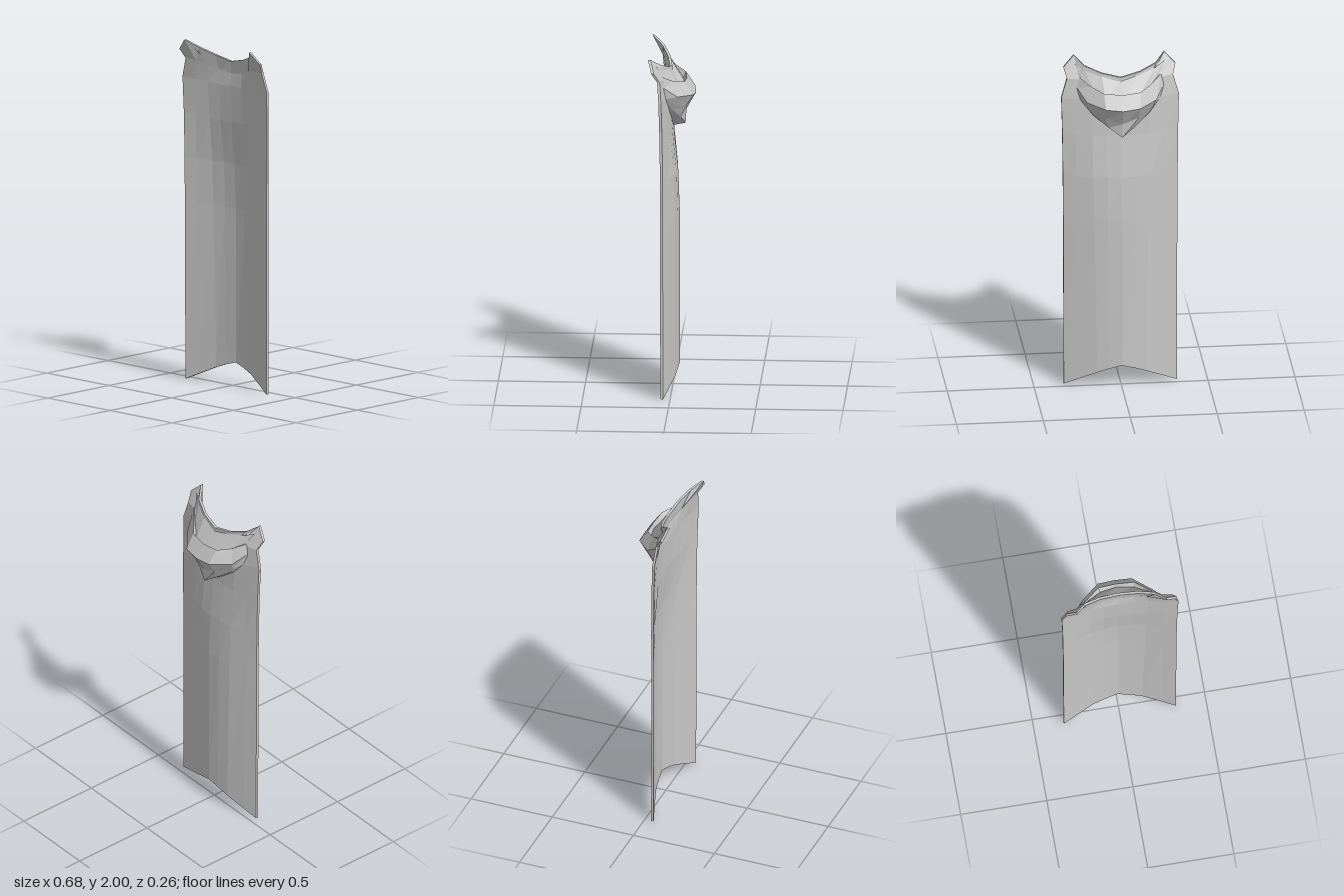
import * as THREE from 'three';

// Full row, left to right, from the half on the +x side (first point on the centre line)
const mirrorRow = half => [
  ...half.slice(1).reverse().map(([x, y, z]) => [-x, y, z]),
  ...half,
];

// Faceted skin over rows of points; rows run upward as seen from the outside
function skin(rows) {
  const pos = [];
  for (let r = 0; r < rows.length - 1; r++) {
    for (let i = 0; i < rows[r].length - 1; i++) {
      const a = rows[r][i], b = rows[r][i + 1];
      const c = rows[r + 1][i + 1], d = rows[r + 1][i];
      pos.push(...a, ...b, ...c, ...a, ...c, ...d);
    }
  }
  const g = new THREE.BufferGeometry();
  g.setAttribute('position', new THREE.Float32BufferAttribute(pos, 3));
  g.computeVertexNormals();
  return g;
}

export function createModel() {
  const group = new THREE.Group();
  const cloth = new THREE.MeshStandardMaterial({ color: 0xc8c8c8, side: THREE.DoubleSide });
  cloth.name = 'grey cloth';
  const add = (name, geometry, parent) => {
    const mesh = new THREE.Mesh(geometry, cloth);
    mesh.name = name;
    parent.add(mesh);
  };

  // Cape: front surface from the pointed hem to the flared collar
  const front = [
    [[0, 0.13, -0.025], [0.07, 0.11, -0.016], [0.14, 0.085, -0.005], [0.25, 0.035, 0.03], [0.325, 0, 0.055]],
    [[0, 1.03, -0.025], [0.08, 1.03, -0.018], [0.155, 1.03, -0.003], [0.255, 1.03, 0.03], [0.328, 1.03, 0.057]],
    [[0, 1.29, -0.015], [0.08, 1.29, -0.01], [0.16, 1.29, 0.002], [0.257, 1.29, 0.033], [0.33, 1.3, 0.057]],
    [[0, 1.54, 0.012], [0.085, 1.54, 0.014], [0.165, 1.54, 0.022], [0.258, 1.55, 0.04], [0.333, 1.56, 0.06]],
    [[0, 1.75, 0.02], [0.09, 1.75, 0.022], [0.17, 1.755, 0.03], [0.26, 1.76, 0.05], [0.338, 1.765, 0.066]],
    [[0, 1.825, 0.012], [0.09, 1.835, 0.018], [0.155, 1.85, 0.035], [0.235, 1.875, 0.062], [0.305, 1.88, 0.075]],
    [[0, 1.895, 0.018], [0.11, 1.92, 0.034], [0.205, 1.955, 0.07], [0.26, 2, 0.13], [0.322, 1.935, 0.108]],
  ].map(mirrorRow);
  const thickness = 0.015;
  const back = front.map(row => row.map(([x, y, z]) => [x, y, z - thickness]));
  const rings = front.map((row, r) => [...row, ...[...back[r]].reverse(), row[0]]);
  const cape = new THREE.Group();
  cape.name = 'cape';
  add('capeBody', skin(rings), cape);
  add('hemEdge', skin([back[0], front[0]]), cape);
  add('collarEdge', skin([front.at(-1), back.at(-1)]), cape);
  group.add(cape);

  // Lowered hood: from the collar into a fold, over the rim, out and down to a point
  const hoodRows = [
    [[0, 1.875, 0.003], [0.11, 1.905, 0.018], [0.2, 1.93, 0.05], [0.26, 1.96, 0.085]],
    [[0, 1.79, -0.072], [0.095, 1.795, -0.055], [0.16, 1.835, -0.008], [0.225, 1.89, 0.045]],
    [[0, 1.82, -0.08], [0.105, 1.83, -0.07], [0.17, 1.85, -0.01], [0.235, 1.89, 0.045]],
    [[0, 1.74, -0.133], [0.098, 1.75, -0.124], [0.2, 1.765, -0.036], [0.25, 1.83, 0.04]],
    [[0, 1.64, -0.078], [0.095, 1.675, -0.075], [0.18, 1.71, -0.015], [0.235, 1.76, 0.035]],
    [[0, 1.555, -0.073], [0.075, 1.61, -0.05], [0.165, 1.68, -0.005], [0.22, 1.74, 0.03]],
    [[0, 1.54, 0], [0.075, 1.595, 0.005], [0.16, 1.665, 0.015], [0.21, 1.73, 0.03]],
  ].map(mirrorRow);
  add('hood', skin(hoodRows), group);

  return group;
}
